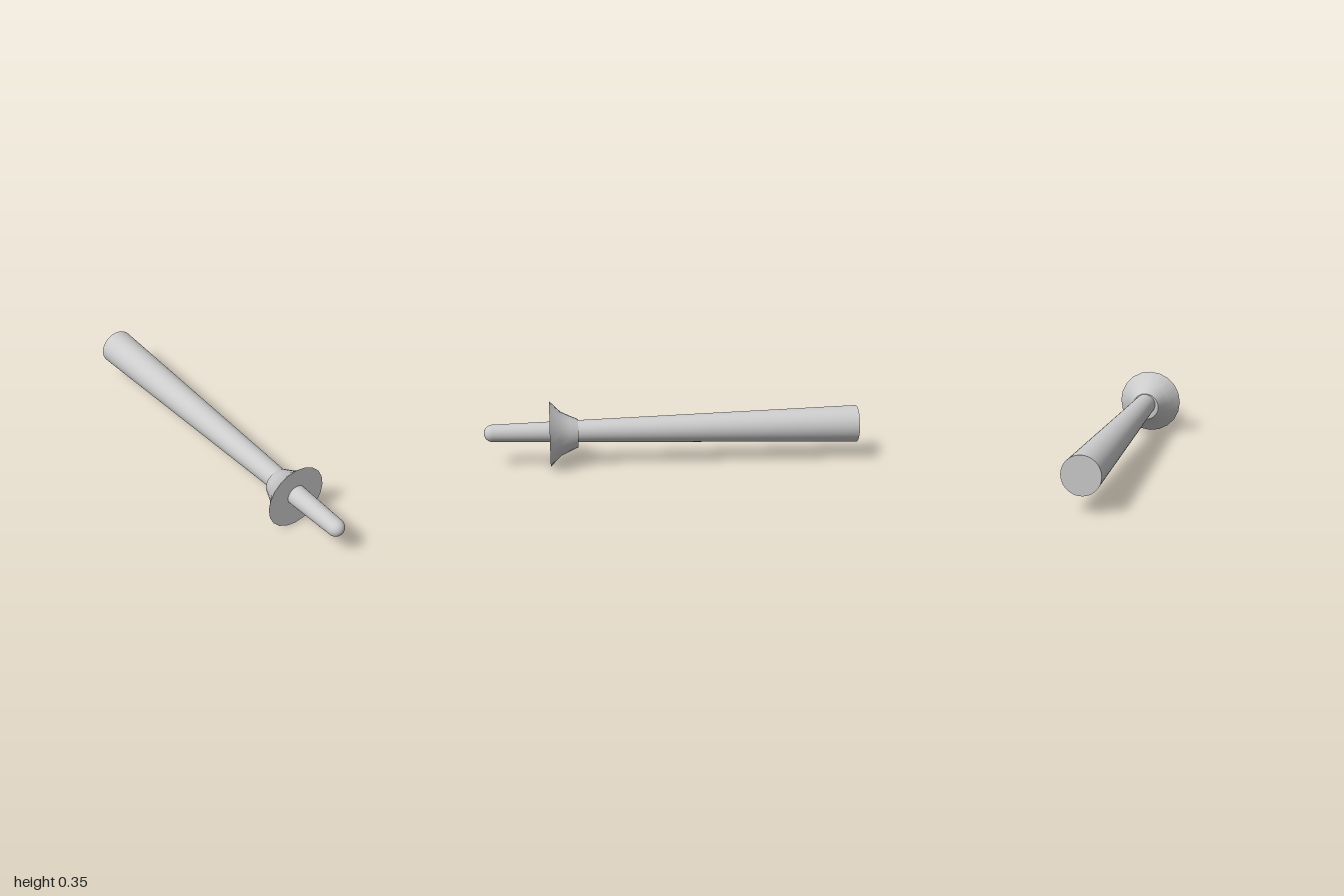
import * as THREE from 'three';

const material = new THREE.MeshStandardMaterial({ color: 0xcccccc });

function addPart(parent, name, geometry, x = 0) {
  const mesh = new THREE.Mesh(geometry, material);
  mesh.name = name;
  mesh.position.x = x;
  parent.add(mesh);
  return mesh;
}

export function createModel() {
  const model = new THREE.Group();
  model.name = 'taperedShaftWithGuard';

  // Long tapered shaft along x, with a rounded tip
  const shaft = new THREE.Group();
  shaft.name = 'shaft';
  shaft.position.set(0, 0.187, -0.002);
  const tipX = 0.954, tipRadius = 0.046, length = tipX + 1;
  const rod = new THREE.CylinderGeometry(tipRadius, 0.099, length, 48).rotateZ(-Math.PI / 2);
  addPart(shaft, 'rod', rod, tipX - length / 2);
  const dome = new THREE.SphereGeometry(tipRadius, 48, 12, 0, Math.PI * 2, 0, Math.PI / 2).rotateZ(-Math.PI / 2);
  addPart(shaft, 'roundedTip', dome, tipX);

  // Flared guard: 20-sided bell closed by flat discs
  const guard = new THREE.Group();
  guard.name = 'guard';
  guard.position.y = 0.174;
  const sides = 20;
  const profile = [[0.075, 0.502], [0.094, 0.545], [0.118, 0.595], [0.174, 0.652]]
    .map(([r, x]) => new THREE.Vector2(r, x));
  addPart(guard, 'guardBell', new THREE.LatheGeometry(profile, sides).rotateZ(-Math.PI / 2));
  addPart(guard, 'guardFrontDisc', new THREE.CircleGeometry(0.174, sides).rotateY(Math.PI / 2), 0.652);
  addPart(guard, 'guardBackDisc', new THREE.CircleGeometry(0.075, sides).rotateY(-Math.PI / 2), 0.502);

  model.add(shaft, guard);
  return model;
}
